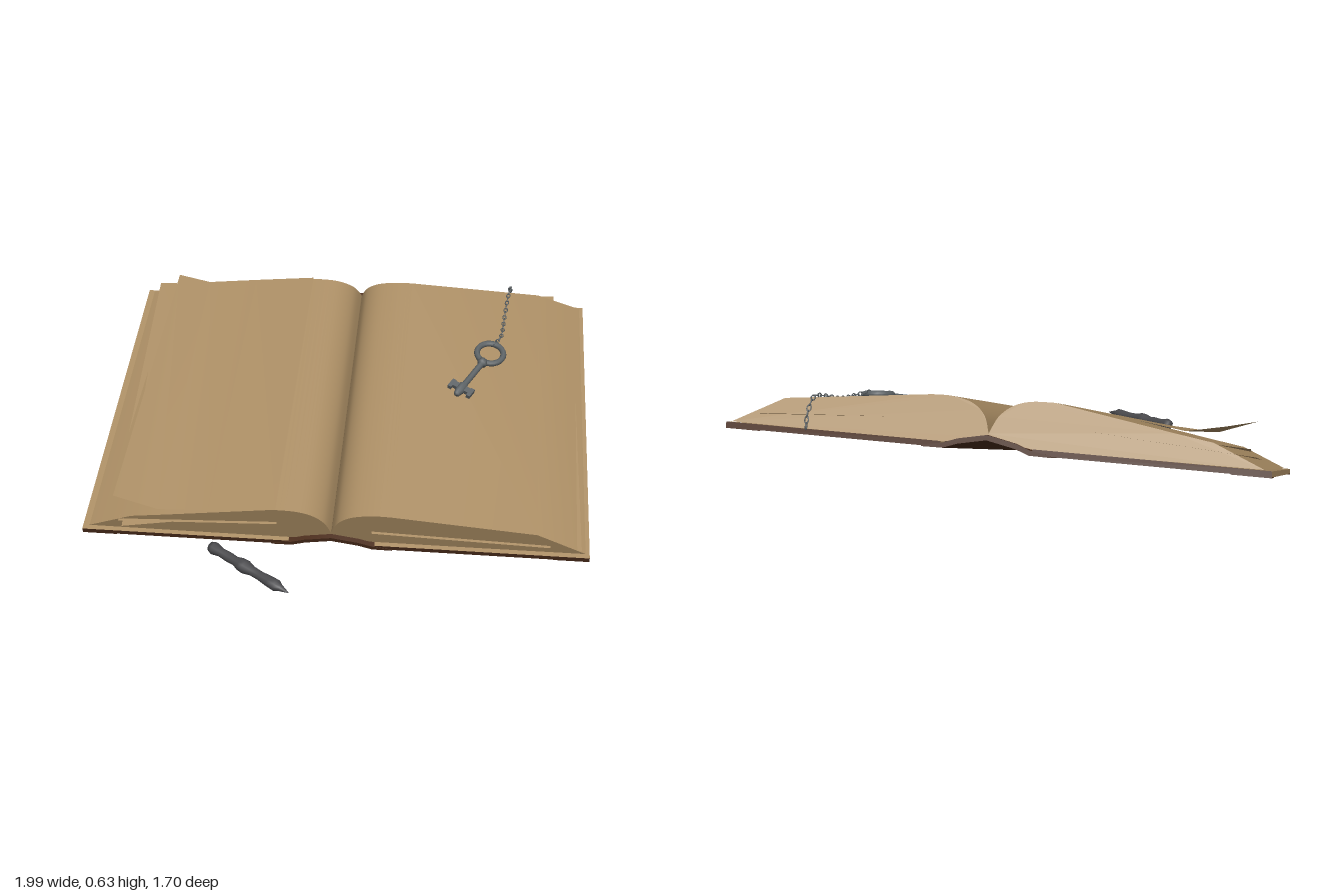
import * as THREE from 'three';
import { toCreasedNormals } from 'three/addons/utils/BufferGeometryUtils.js';

const mat = (name, color, side = THREE.FrontSide) => {
  const m = new THREE.MeshStandardMaterial({ color, side });
  m.name = name;
  return m;
};

export function createModel() {
  const paper = mat('aged paper', 0xa88b62);
  const sheetPaper = paper.clone();
  sheetPaper.side = THREE.DoubleSide;
  const leather = mat('dark leather', 0x4a2c1b);
  const iron = mat('key iron', 0x5a6063);
  const penMetal = mat('pen metal', 0x4a4a4d);

  const model = new THREE.Group();
  const book = new THREE.Group();
  book.name = 'book';
  model.add(book);

  const add = (parent, name, geometry, material) => {
    const mesh = new THREE.Mesh(geometry, material);
    mesh.name = name;
    parent.add(mesh);
    return mesh;
  };

  // Book frame: x across the pages, y out of the pages, z towards the front edge
  const u = new THREE.Vector3(0.996, 0, -0.09).normalize();
  const v = new THREE.Vector3(0.092, -0.364, 0.927);
  const n = new THREE.Vector3().crossVectors(v, u).normalize();
  v.crossVectors(u, n);
  new THREE.Matrix4().makeBasis(u, n, v).decompose(book.position, book.quaternion, book.scale);
  book.position.set(0, 0.252, -0.16);

  // Constant cross-section running the depth of the book
  const extrudeDepth = (points, z0, z1) => {
    const g = new THREE.ExtrudeGeometry(new THREE.Shape(points), { depth: z1 - z0, bevelEnabled: false });
    return g.translate(0, 0, z0);
  };
  const vec2 = (pairs) => pairs.map(([x, y]) => new THREE.Vector2(x, y));

  // Page blocks: rounded at the gutter, sloping to the fore edge
  const blocks = {
    right: { side: 1, curve: [[0, 0.045], [0.025, 0.105], [0.075, 0.145], [0.15, 0.162], [0.22, 0.162]], slope: [[0.75, 0.106], [0.93, 0.008]] },
    left: { side: -1, curve: [[0, 0.045], [0.025, 0.105], [0.07, 0.145], [0.13, 0.164], [0.21, 0.167]], slope: [[0.62, 0.1], [0.75, 0.08], [0.92, 0.008]] },
  };
  for (const [label, { side, curve, slope }] of Object.entries(blocks)) {
    const rounded = new THREE.SplineCurve(vec2(curve)).getPoints(20);
    const outline = [...rounded, ...vec2(slope), ...vec2([[0.16, 0.004], [0, 0.032]])];
    outline.forEach((p) => { p.x *= side; });
    const g = extrudeDepth(outline, -0.645, 0.635);
    // Back end leans inwards towards the top
    const pos = g.attributes.position;
    for (let i = 0; i < pos.count; i++) {
      if (pos.getZ(i) < 0) pos.setZ(i, -0.645 + 0.3 * pos.getY(i));
    }
    add(book, label + 'PageBlock', toCreasedNormals(g, 0.5), paper);
  }

  // Sheet lofted between a back edge and a front edge, points [x, y, z]
  const addSheet = (name, back, front) => {
    const pos = [], index = [];
    back.forEach((p, i) => {
      pos.push(...p, ...front[i]);
      if (i) index.push(2 * i - 2, 2 * i - 1, 2 * i, 2 * i, 2 * i - 1, 2 * i + 1);
    });
    const g = new THREE.BufferGeometry();
    g.setAttribute('position', new THREE.Float32BufferAttribute(pos, 3));
    g.setIndex(index);
    g.computeVertexNormals();
    add(book, name, g, sheetPaper);
  };

  // Top left page lifting at its outer edge
  addSheet('curledPage',
    [[-0.2, 0.169, -0.6], [-0.45, 0.138, -0.605], [-0.655, 0.11, -0.61], [-0.786, 0.136, -0.62]],
    [[-0.2, 0.169, 0.635], [-0.45, 0.142, 0.635], [-0.64, 0.132, 0.635], [-0.72, 0.145, 0.632], [-0.8, 0.19, 0.628]].filter((_, i) => i !== 3));

  // Loose pages poking out of the blocks
  addSheet('loosePageLeftLow',
    [[-0.35, 0.08, -0.64], [-0.89, 0.045, -0.66]], [[-0.35, 0.06, 0.6], [-0.84, 0.03, 0.62]]);
  addSheet('loosePageLeftHigh',
    [[-0.4, 0.09, -0.6], [-0.87, 0.07, -0.62]], [[-0.3, 0.08, 0.6], [-0.78, 0.062, 0.67]]);
  addSheet('loosePageLeftFront',
    [[-0.2, 0.1, -0.3], [-0.7, 0.07, -0.3]], [[-0.2, 0.095, 0.645], [-0.8, 0.06, 0.645]]);
  addSheet('loosePageRightFront',
    [[0.15, 0.07, -0.3], [0.8, 0.04, -0.3]], [[0.15, 0.07, 0.645], [0.8, 0.045, 0.645]]);
  addSheet('loosePageRightBack',
    [[0.25, 0.08, -0.61], [0.82, 0.045, -0.675]], [[0.3, 0.06, 0.5], [0.8, 0.035, 0.5]]);
  addSheet('loosePageRightLow',
    [[0.4, 0.03, -0.62], [0.9, 0.02, -0.5]], [[0.4, 0.03, 0.6], [0.915, 0.025, 0.635]]);

  // Cover boards with leather edges and leather corner patches underneath
  for (const side of [-1, 1]) {
    const label = side > 0 ? 'left' : 'right';
    const faces = [paper, paper, paper, paper, leather, leather];
    const board = add(book, label + 'CoverBoard', new THREE.BoxGeometry(0.785, 0.02, 1.305), faces);
    board.position.set(side * 0.5525, -0.004, 0);
    for (const end of [-1, 1]) {
      const corner = new THREE.Shape();
      corner.moveTo(0, 0);
      corner.lineTo(0.13, 0);
      corner.quadraticCurveTo(0.075, 0.075, 0, 0.13);
      corner.closePath();
      const g = new THREE.ExtrudeGeometry(corner, { depth: 0.004, bevelEnabled: false });
      const patch = add(book, 'cornerPatch', g, leather);
      // Quarter turns about the vertical place the right angle on each corner
      const turn = side < 0 ? (end < 0 ? 0 : 1) : (end > 0 ? 2 : 3);
      g.rotateX(Math.PI / 2).rotateY(turn * Math.PI / 2);
      patch.position.set(side * 0.945, -0.0125, end * 0.6525);
    }
  }

  // Leather spine arched between the boards and lapping onto them
  const half = [[0.225, -0.017], [0.15, -0.016], [0.1, 0.002], [0.05, 0.012], [0, 0.022]];
  const under = [...half.map(([x, y]) => [-x, y]), ...half.slice(0, -1).reverse()];
  const over = under.map(([x, y]) => [x, y + (Math.abs(x) > 0.2 ? 0.006 : 0.018)]).reverse();
  add(book, 'spine', toCreasedNormals(extrudeDepth(vec2([...under, ...over]), -0.654, 0.654), 0.6), leather);

  // Key lying on the +x page
  const key = new THREE.Group();
  key.name = 'key';
  key.position.set(0.556, 0.152, -0.217);
  key.rotation.set(0, -0.5, -0.08);
  book.add(key);
  add(key, 'keyRing', new THREE.TorusGeometry(0.053, 0.012, 8, 24).rotateX(Math.PI / 2), iron);
  const shaft = [[0, 0.05], [0.02, 0.05], [0.02, 0.068], [0.012, 0.074], [0.012, 0.2], [0.018, 0.205], [0.018, 0.24], [0.012, 0.262], [0, 0.266]];
  add(key, 'keyShaft', new THREE.LatheGeometry(vec2(shaft), 10).rotateX(Math.PI / 2), iron);
  add(key, 'keyBit', new THREE.BoxGeometry(0.1, 0.016, 0.026), iron).position.z = 0.222;
  for (const x of [-0.042, 0.042]) {
    add(key, 'keyTooth', new THREE.BoxGeometry(0.016, 0.016, 0.042), iron).position.set(x, 0, 0.226);
  }

  // Chain of fine links running off the back of the page
  const path = new THREE.CatmullRomCurve3([
    [0.575, 0.158, -0.27], [0.597, 0.145, -0.32], [0.61, 0.124, -0.45], [0.622, 0.126, -0.57],
    [0.632, 0.118, -0.64], [0.636, 0.06, -0.672], [0.636, 0.015, -0.675],
  ].map((p) => new THREE.Vector3(...p)));
  const chain = new THREE.Group();
  chain.name = 'chain';
  book.add(chain);
  const linkGeometry = new THREE.TorusGeometry(0.007, 0.0022, 5, 10).scale(1.7, 1, 1);
  const links = 24;
  for (let i = 0; i < links; i++) {
    const link = add(chain, 'chainLink', linkGeometry, iron);
    const t = i / (links - 1);
    link.position.copy(path.getPointAt(t));
    link.quaternion.setFromUnitVectors(new THREE.Vector3(1, 0, 0), path.getTangentAt(t));
    link.rotateX((i % 2) * Math.PI / 2);
  }

  // Turned pen resting in front of the book, tip towards +x
  const penProfile = [[0, 0], [0.018, 0.002], [0.024, 0.02], [0.017, 0.05], [0.019, 0.09], [0.017, 0.125], [0.025, 0.15],
    [0.026, 0.17], [0.018, 0.2], [0.017, 0.24], [0.021, 0.285], [0.022, 0.315], [0.012, 0.335], [0.008, 0.35], [0, 0.375]];
  const pen = add(model, 'pen', new THREE.LatheGeometry(vec2(penProfile), 10), penMetal);
  const tail = new THREE.Vector3(-0.34, 0.1, 0.67);
  const tip = new THREE.Vector3(-0.01, 0.062, 0.845);
  pen.position.copy(tail);
  pen.quaternion.setFromUnitVectors(new THREE.Vector3(0, 1, 0), tip.sub(tail).normalize());

  return model;
}
